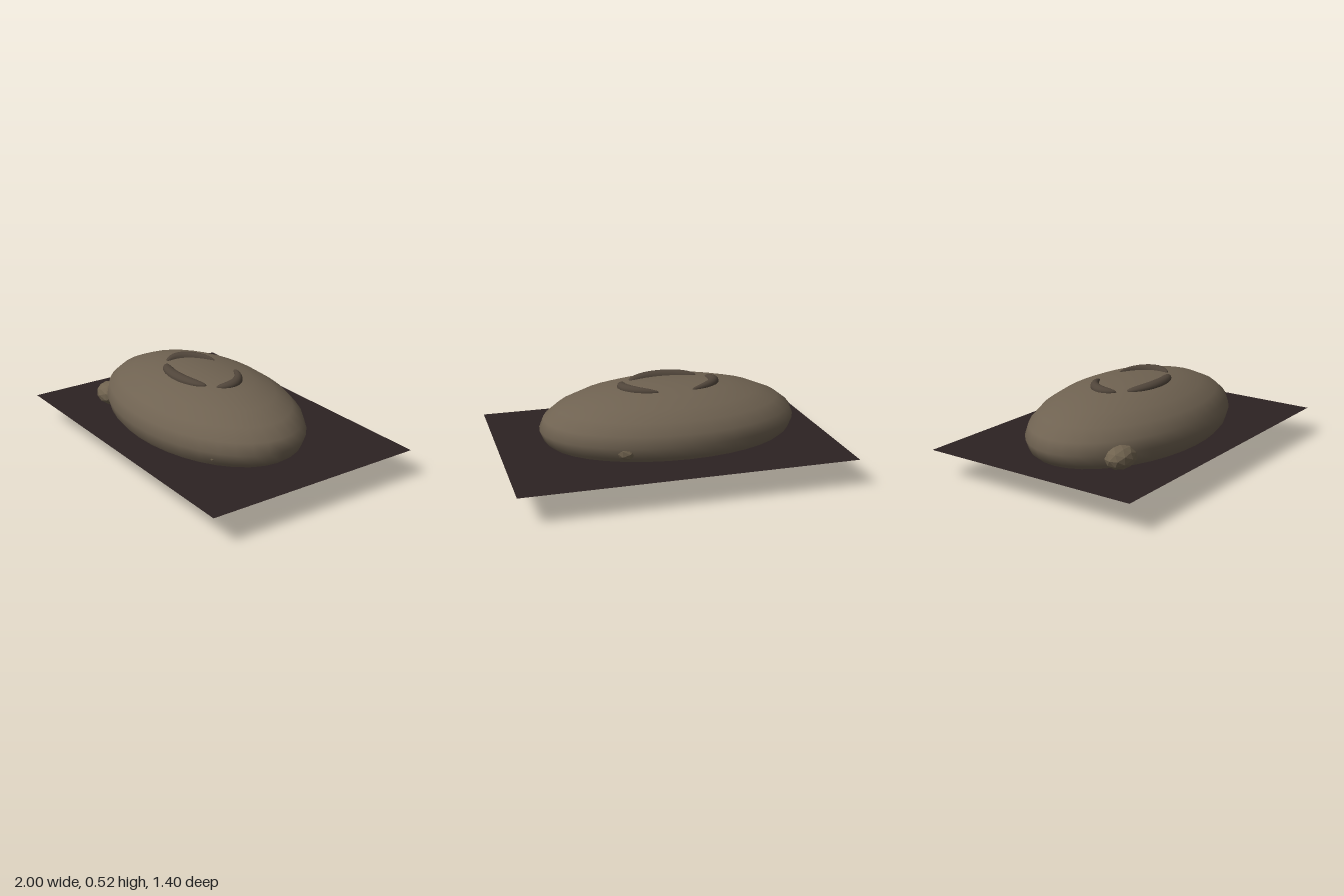
import * as THREE from 'three';

export function createModel() {
  const model = new THREE.Group();
  const mat = (name, color, opts = {}) => {
    const m = new THREE.MeshStandardMaterial({ color, ...opts });
    m.name = name;
    return m;
  };
  const stone = mat('stone brown', 0x6f6251);
  const pebbleStone = mat('pebble brown', 0x70634f, { flatShading: true });
  const ridgeBrown = mat('dark ridge brown', 0x50453a);
  const earth = mat('dark earth', 0x2c2222, { side: THREE.DoubleSide });

  const add = (name, geometry, material, x = 0, y = 0, z = 0) => {
    const mesh = new THREE.Mesh(geometry, material);
    mesh.name = name;
    mesh.position.set(x, y, z);
    model.add(mesh);
    return mesh;
  };

  // Flat sheet that cuts through the lower part of the stone
  add('groundSheet', new THREE.PlaneGeometry(2, 1.4).rotateX(-Math.PI / 2), earth, 0, 0.17, 0);

  // Smooth ellipsoid with a slightly flattened crown
  const body = new THREE.SphereGeometry(1, 36, 12).scale(0.8, 0.26, 0.495);
  const bp = body.attributes.position;
  for (let i = 0; i < bp.count; i++) {
    const y = bp.getY(i);
    if (y > 0.227) bp.setY(i, 0.227 + (y - 0.227) * 0.4);
  }
  add('stoneBody', body, stone, -0.055, 0.262, 0.04);

  // Crescent ridge: a sphere bent along an elliptical arc
  const crescent = (midDeg, halfDeg, radius, width) => {
    const g = new THREE.SphereGeometry(1, 12, 16);
    const p = g.attributes.position;
    for (let i = 0; i < p.count; i++) {
      const a = THREE.MathUtils.degToRad(midDeg - p.getY(i) * halfDeg);
      const r = radius + p.getX(i) * width;
      p.setXYZ(i, Math.cos(a) * r * 0.32, p.getZ(i) * 0.03, Math.sin(a) * r * 0.205);
    }
    g.computeVertexNormals();
    return g;
  };
  add('rightRidge', crescent(203, 46, 0.9, 0.11), ridgeBrown, -0.055, 0.494, 0.05);
  add('leftRidge', crescent(-23, 46, 0.9, 0.11), ridgeBrown, -0.055, 0.494, 0.05);
  add('frontRidge', crescent(90, 52, 0.83, 0.18), ridgeBrown, -0.055, 0.494, 0.05);

  // Faceted pebbles set into the flanks; only the first stands well proud
  const pebbles = [
    [-0.615, 0.24, 0.365, 0.105, 0.072, 0.085],
    [0.3, 0.23, -0.325, 0.08, 0.06, 0.08],
    [0.475, 0.23, 0.31, 0.08, 0.06, 0.075],
  ];
  for (const [x, y, z, sx, sy, sz] of pebbles) {
    const pebble = add('sidePebble', new THREE.IcosahedronGeometry(1, 1), pebbleStone, x, y, z);
    pebble.scale.set(sx, sy, sz);
  }

  return model;
}
